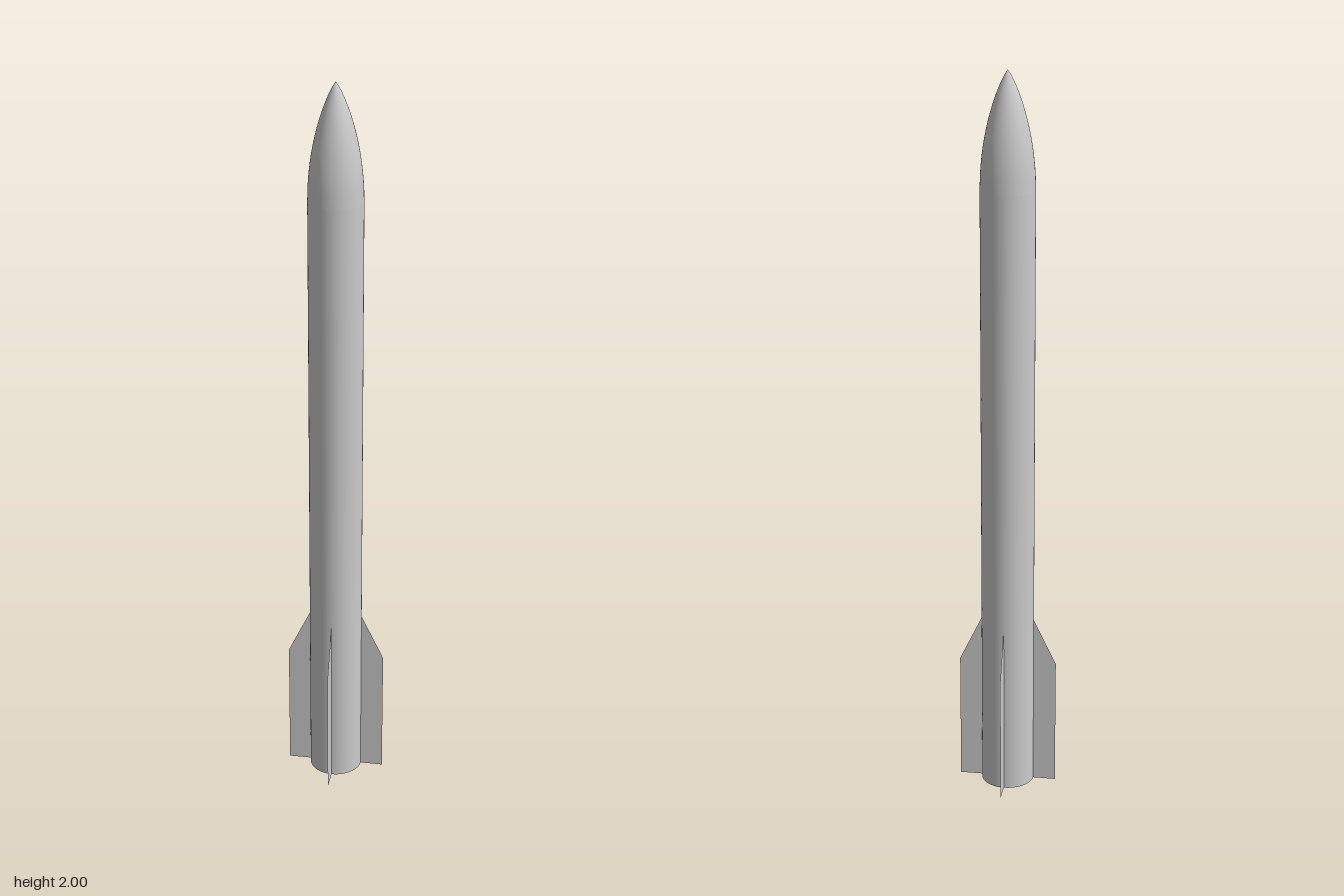
import * as THREE from 'three';

const R = 0.073;       // body radius
const BORE = 0.06;     // inner radius of the tube
const NOSE_Y = 1.69;   // where the nose cone starts
const SEGMENTS = 48;

const material = new THREE.MeshStandardMaterial({ color: 0xcccccc });
const thinMaterial = new THREE.MeshStandardMaterial({ color: 0xcccccc, side: THREE.DoubleSide });

function addMesh(parent, name, geometry, mat = material) {
  const mesh = new THREE.Mesh(geometry, mat);
  mesh.name = name;
  parent.add(mesh);
  return mesh;
}

export function createModel() {
  const model = new THREE.Group();
  model.name = 'rocket';

  // Hollow body tube: outer wall, inner wall and the rim at the tail
  const body = new THREE.Group();
  body.name = 'bodyTube';
  model.add(body);
  const wall = (r) => new THREE.CylinderGeometry(r, r, NOSE_Y, SEGMENTS, 1, true).translate(0, NOSE_Y / 2, 0);
  addMesh(body, 'outerWall', wall(R));
  addMesh(body, 'innerWall', wall(BORE).scale(-1, 1, 1), thinMaterial);
  addMesh(body, 'tailRim', new THREE.RingGeometry(BORE, R, SEGMENTS).rotateX(Math.PI / 2));

  // Nose cone: blunt curve from the tube up to the tip
  const profile = [];
  const steps = 20;
  for (let i = 0; i <= steps; i++) {
    const t = 1 - (i / steps) ** 0.7; // 1 at the base, 0 at the tip
    profile.push(new THREE.Vector2(R * (2 * t - t * t) ** 0.85, 2 - t * (2 - NOSE_Y)));
  }
  addMesh(model, 'noseCone', new THREE.LatheGeometry(profile, SEGMENTS));
  addMesh(model, 'noseBase', new THREE.CircleGeometry(R, SEGMENTS).rotateX(Math.PI / 2).translate(0, NOSE_Y, 0));

  // Four thin fins with swept leading edges
  const finShape = new THREE.Shape([
    new THREE.Vector2(R, 0),
    new THREE.Vector2(0.136, 0),
    new THREE.Vector2(0.136, 0.36),
    new THREE.Vector2(R, 0.49),
  ]);
  const finGeometry = new THREE.ShapeGeometry(finShape);
  for (let i = 0; i < 4; i++) {
    addMesh(model, `fin${i + 1}`, finGeometry, thinMaterial).rotation.y = (i * Math.PI) / 2;
  }

  return model;
}
